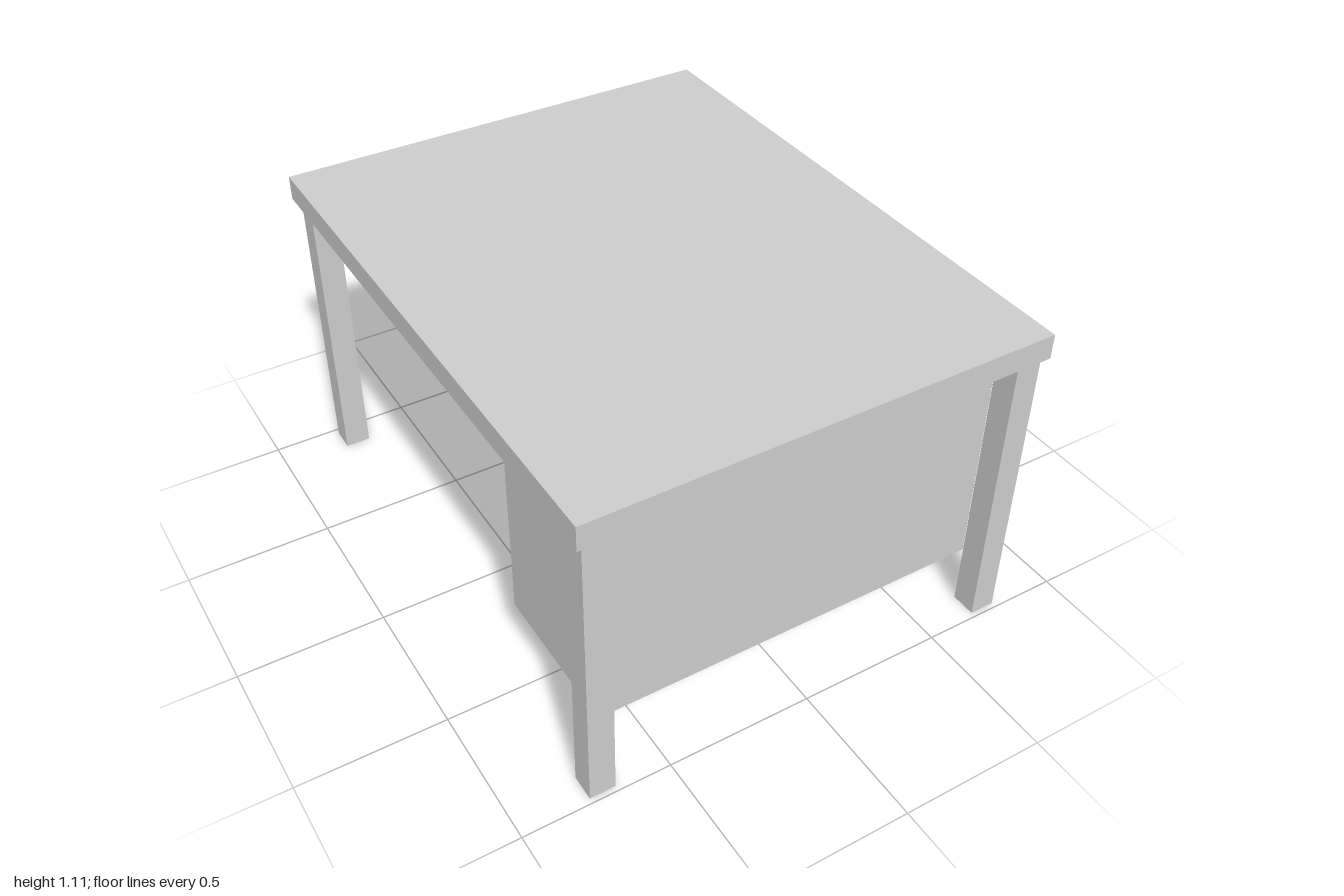
import * as THREE from 'three';

export function createModel() {
  const desk = new THREE.Group();
  desk.name = 'desk';
  const material = new THREE.MeshStandardMaterial({ color: 0xcccccc, flatShading: true });

  // Box given by its lowest and highest corners
  function addBox(name, [x0, y0, z0], [x1, y1, z1]) {
    const mesh = new THREE.Mesh(new THREE.BoxGeometry(x1 - x0, y1 - y0, z1 - z0), material);
    mesh.position.set((x0 + x1) / 2, (y0 + y1) / 2, (z0 + z1) / 2);
    mesh.name = name;
    desk.add(mesh);
  }

  const underside = 1.025;
  const legWidth = 0.087;

  addBox('desktop', [-0.79, underside, -1], [0.79, 1.11, 1]);

  // Four square legs, each placed by its lowest x and z
  for (const [side, x] of [['Right', -0.767], ['Left', 0.685]]) {
    for (const [end, z] of [['front', 0.895], ['back', -0.975]]) {
      addBox(`${end}${side}Leg`, [x, 0, z], [x + legWidth, underside, z + legWidth]);
    }
  }

  // Storage case hung under the top, just behind the front legs
  addBox('cabinet', [-0.685, 0.215, 0.361], [0.687, underside, 0.892]);

  return desk;
}
